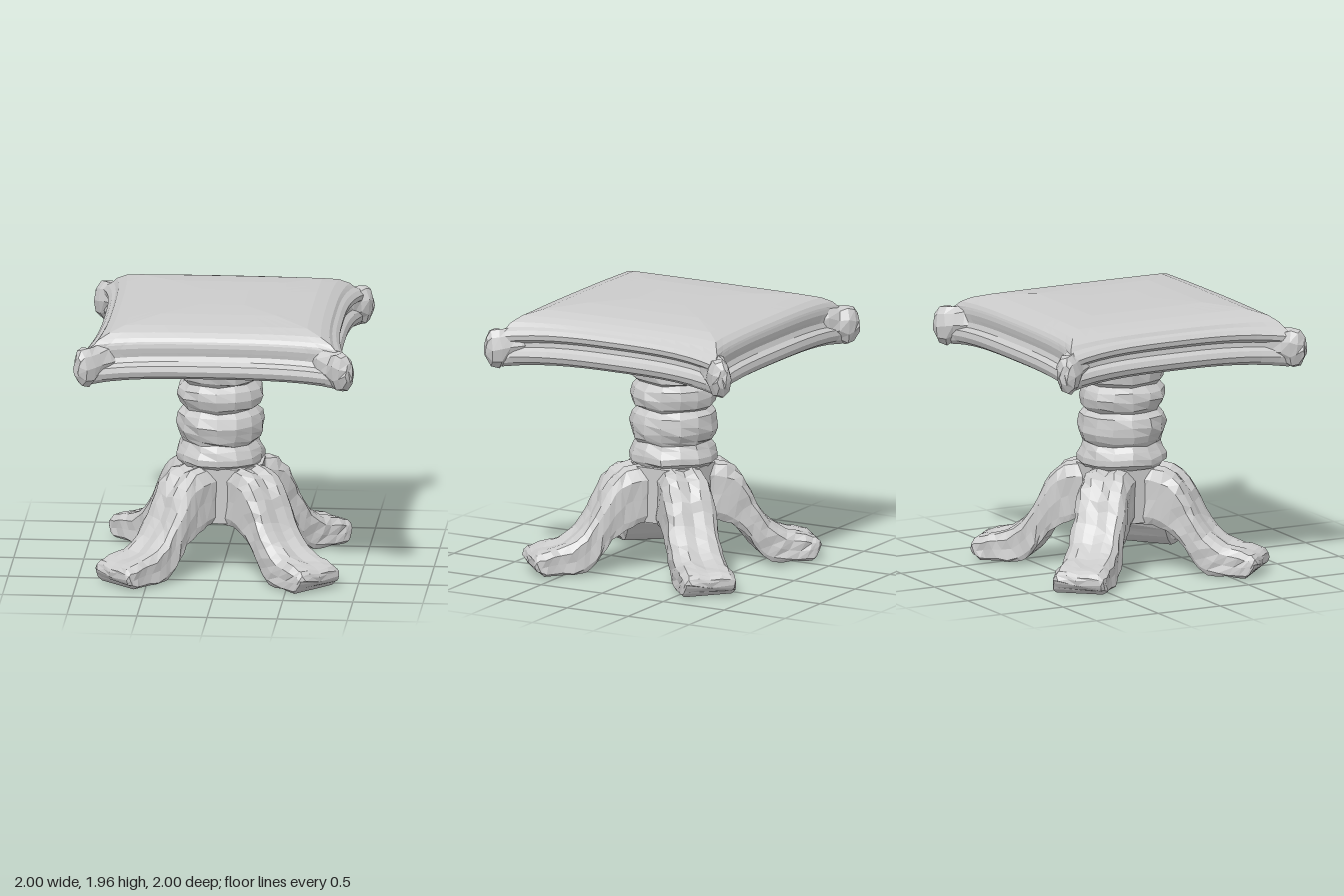
import * as THREE from 'three';

const material = new THREE.MeshStandardMaterial({ color: 0xcccccc, flatShading: true });

function addMesh(parent, name, geometry) {
  const mesh = new THREE.Mesh(geometry, material);
  mesh.name = name;
  parent.add(mesh);
  return mesh;
}

// Joins equal-sized cross-sections into a closed solid
function loft(rings) {
  const n = rings[0].length;
  const positions = rings.flat().flatMap((p) => [p.x, p.y, p.z]);
  const index = [];
  for (let i = 0; i < rings.length - 1; i++) {
    for (let j = 0; j < n; j++) {
      const a = i * n + j, b = i * n + (j + 1) % n;
      index.push(a, b, a + n, b, b + n, a + n);
    }
  }
  [0, rings.length - 1].forEach((r, end) => {
    const c = new THREE.Vector3();
    rings[r].forEach((p) => c.addScaledVector(p, 1 / n));
    const centre = positions.length / 3;
    positions.push(c.x, c.y, c.z);
    for (let j = 0; j < n; j++) {
      const a = r * n + j, b = r * n + (j + 1) % n;
      if (end) index.push(centre, a, b);
      else index.push(centre, b, a);
    }
  });
  const geometry = new THREE.BufferGeometry();
  geometry.setAttribute('position', new THREE.Float32BufferAttribute(positions, 3));
  geometry.setIndex(index);
  geometry.computeVertexNormals();
  return geometry;
}

// Small repeatable unevenness for the hand-carved look
function roughen(geometry, amount) {
  const p = geometry.attributes.position;
  const noise = (x, y, z, k) => Math.sin(Math.round(x * 500) * 1.7 + Math.round(y * 500) * 2.3 + Math.round(z * 500) * 3.1 + k);
  for (let i = 0; i < p.count; i++) {
    const x = p.getX(i), y = p.getY(i), z = p.getZ(i);
    p.setXYZ(i, x + amount * noise(x, y, z, 0), Math.max(0, y + amount * noise(x, y, z, 2)), z + amount * noise(x, y, z, 4));
  }
  geometry.computeVertexNormals();
  return geometry;
}

// Cushion rings from underside to crown: [side inset, front and back inset, height, corner pinch]
function cushionGeometry() {
  const levels = [
    [0.2, 0.2, 1.6, 0], [0.16, 0.16, 1.595, 0.2], [0.13, 0.13, 1.575, 0.6], [0.06, 0.06, 1.575, 1],
    [0.015, 0.015, 1.6, 1], [0, 0, 1.64, 1], [0.015, 0.01, 1.68, 1], [0.05, 0.05, 1.705, 1],
    [0.055, 0.065, 1.74, 1], [0.015, 0.06, 1.765, 1], [0.01, 0.055, 1.8, 1], [0.035, 0.06, 1.83, 0.9],
    [0.06, 0.065, 1.845, 0.7], [0.075, 0.08, 1.87, 0.5], [0.13, 0.12, 1.9, 0.3],
    [0.22, 0.22, 1.926, 0.1], [0.45, 0.45, 1.948, 0], [0.7, 0.7, 1.955, 0],
  ];
  const steps = 14;
  return loft(levels.map(([insetX, insetZ, y, pinch]) => {
    const ring = [];
    for (let side = 0; side < 4; side++) {
      for (let k = 0; k < steps; k++) {
        const s = -1 + (2 * k) / steps;
        const [u, v] = [[1, -s], [-s, -1], [-1, s], [s, 1]][side];
        const drop = 0.045 * pinch * Math.min(Math.abs(u), Math.abs(v)) ** 3;
        ring.push(new THREE.Vector3(
          u * (0.86 + 0.09 * pinch * Math.abs(v) ** 3 - insetX),
          y - drop,
          v * (0.9 + 0.04 * pinch * u ** 8 - insetZ)));
      }
    }
    return ring;
  }));
}

// Corner tuft flaring out along +z: [distance, half width, half height, centre height]
function tuftGeometry() {
  const stations = [[1.02, 0.1, 0.1, 1.71], [1.13, 0.1, 0.125, 1.7], [1.22, 0.085, 0.125, 1.68], [1.28, 0.085, 0.145, 1.67], [1.335, 0.075, 0.125, 1.67], [1.375, 0.035, 0.075, 1.68]];
  return roughen(loft(stations.map(([d, w, h, y]) => Array.from({ length: 9 }, (_, k) => {
    const a = (k / 9) * Math.PI * 2;
    return new THREE.Vector3(w * Math.cos(a), y + h * Math.sin(a), d);
  }))), 0.008);
}

// Leg running out along +z: top and bottom edge curves share their stations
function legGeometry() {
  const curve = (pts) => new THREE.SplineCurve(pts.map(([r, y]) => new THREE.Vector2(r, y)));
  const top = curve([[0.1, 0.76], [0.29, 0.76], [0.43, 0.71], [0.53, 0.58], [0.6, 0.43], [0.69, 0.31], [0.81, 0.225], [0.95, 0.19], [1.03, 0.165], [1.06, 0.11]]);
  const bottom = curve([[0.1, 0.35], [0.24, 0.35], [0.34, 0.33], [0.44, 0.28], [0.53, 0.19], [0.6, 0.09], [0.69, 0.015], [0.85, 0.005], [0.98, 0.01], [1.03, 0.04]]);
  const section = [[-0.9, 0], [0.9, 0], [1, 0.12], [1, 0.45], [0.98, 0.78], [0.78, 0.97], [0.42, 1.02], [0, 0.96], [-0.42, 1.02], [-0.78, 0.97], [-0.98, 0.78], [-1, 0.45], [-1, 0.12]];
  const rings = [];
  for (let i = 0; i <= 18; i++) {
    const t = i / 18;
    const a = bottom.getPoint(t), b = top.getPoint(t);
    const half = (0.175 + 0.025 * t) * (i === 18 ? 0.88 : 1);
    rings.push(section.map(([u, v]) => new THREE.Vector3(
      u * half, THREE.MathUtils.lerp(a.y, b.y, v), THREE.MathUtils.lerp(a.x, b.x, v))));
  }
  return roughen(loft(rings), 0.008);
}

export function createModel() {
  const model = new THREE.Group();

  // Seat cushion
  const seat = new THREE.Group();
  seat.name = 'seat';
  model.add(seat);
  addMesh(seat, 'cushion', cushionGeometry());

  // Turned column with stacked bulges and a narrow neck
  const profile = [
    [0, 0.74], [0.28, 0.75], [0.315, 0.785], [0.315, 0.83], [0.295, 0.88], [0.27, 0.92],
    [0.295, 0.95], [0.312, 1.0], [0.315, 1.06], [0.3, 1.12], [0.26, 1.16], [0.295, 1.19], [0.312, 1.25],
    [0.3, 1.31], [0.26, 1.355], [0.295, 1.38], [0.305, 1.47], [0.28, 1.5], [0.15, 1.515],
    [0.15, 1.54], [0.2, 1.57], [0.21, 1.61],
  ].map(([r, y]) => new THREE.Vector2(r, y));
  const column = addMesh(model, 'column', roughen(new THREE.LatheGeometry(profile, 14), 0.007));
  column.position.x = -0.025;

  // Core block where the legs meet
  const core = addMesh(model, 'legCore', new THREE.CylinderGeometry(0.31, 0.31, 0.4, 8));
  core.position.y = 0.56;
  core.rotation.y = Math.PI / 8;

  // Diagonal legs and the seat's corner tufts above them
  const leg = legGeometry();
  const tuft = tuftGeometry();
  ['frontLeft', 'backLeft', 'backRight', 'frontRight'].forEach((corner, i) => {
    const angle = Math.PI / 4 + (i * Math.PI) / 2;
    addMesh(model, corner + 'Leg', leg).rotation.y = angle;
    addMesh(seat, corner + 'Tuft', tuft).rotation.y = angle;
  });

  return model;
}
